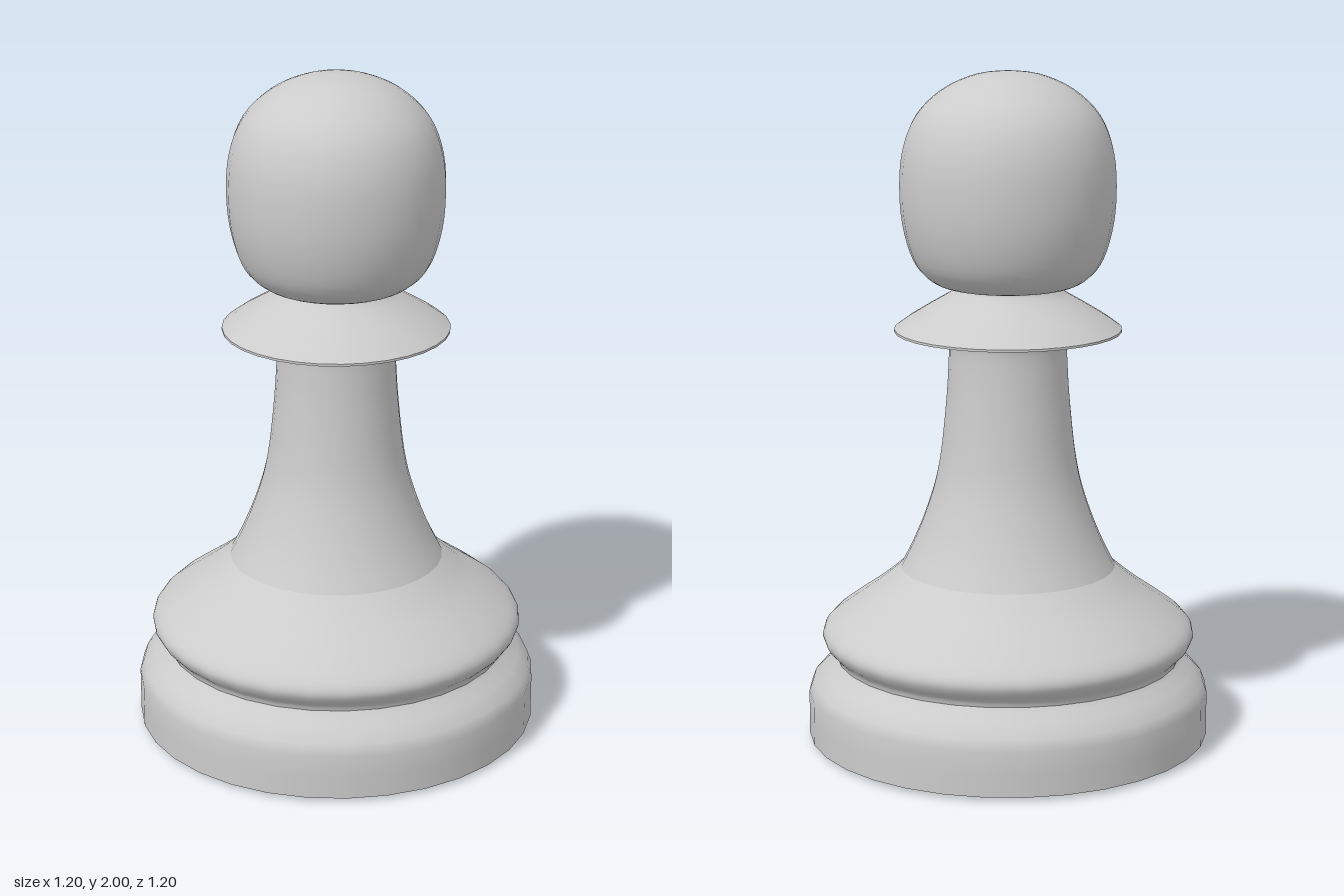
import * as THREE from 'three';

const SIDES = 32;

export function createModel() {
  const group = new THREE.Group();
  const material = new THREE.MeshStandardMaterial({ color: 0xcccccc, side: THREE.DoubleSide });

  // Turn a [radius, height] profile (listed bottom to top); steps > 0 smooths it with a spline
  const turn = (name, profile, steps = 0) => {
    let pts = profile.map(([r, y]) => new THREE.Vector2(r, y));
    if (steps) pts = new THREE.SplineCurve(pts).getPoints(steps);
    pts.forEach((p) => { p.x = Math.max(p.x, 0); });
    const mesh = new THREE.Mesh(new THREE.LatheGeometry(pts, SIDES), material);
    mesh.name = name;
    group.add(mesh);
  };

  // Flat underside and heavy foot with a rounded shoulder
  turn('underside', [[0, 0], [0.57, 0.004], [0.6, 0.012]]);
  turn('foot', [[0.6, 0.012], [0.6, 0.08], [0.6, 0.145], [0.588, 0.178], [0.555, 0.212], [0.525, 0.237], [0.515, 0.25]]);

  // Groove and bulging ring that slopes up to the stem
  turn('baseRing', [[0.515, 0.25], [0.522, 0.268], [0.545, 0.292], [0.557, 0.322], [0.54, 0.355],
    [0.48, 0.403], [0.39, 0.467], [0.32, 0.525]], 28);

  // Concave stem with a small flare under the collar
  turn('stem', [[0.32, 0.525], [0.285, 0.595], [0.25, 0.68], [0.218, 0.78], [0.199, 0.88], [0.184, 1.02],
    [0.177, 1.12], [0.175, 1.195], [0.184, 1.225], [0.21, 1.24]], 36);

  // Thin flared collar
  turn('collarUnderside', [[0.2, 1.24], [0.335, 1.24]]);
  turn('collarRim', [[0.335, 1.24], [0.335, 1.247]]);
  turn('collarTop', [[0.335, 1.247], [0.295, 1.276], [0.235, 1.313], [0.18, 1.345], [0.157, 1.362], [0.155, 1.372]]);

  // Squarish rounded head
  turn('head', [[0.155, 1.37], [0.215, 1.385], [0.27, 1.437], [0.303, 1.53], [0.316, 1.64], [0.308, 1.765],
    [0.268, 1.87], [0.19, 1.946], [0.095, 1.988], [0, 2]], 36);

  return group;
}
